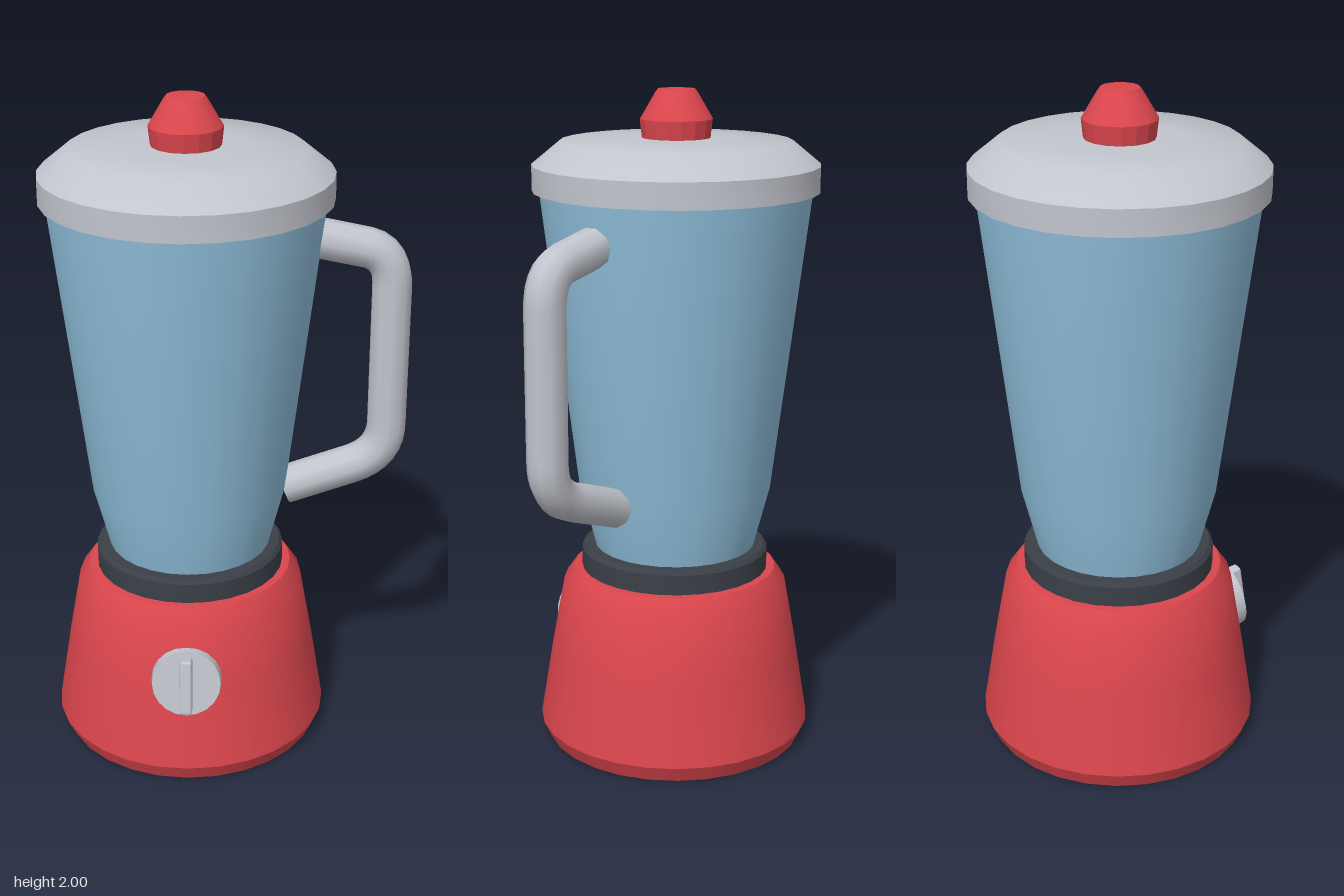
import * as THREE from 'three';
import { toCreasedNormals } from 'three/addons/utils/BufferGeometryUtils.js';
import { RoundedBoxGeometry } from 'three/addons/geometries/RoundedBoxGeometry.js';

const mat = (name, color) => {
  const m = new THREE.MeshStandardMaterial({ color });
  m.name = name;
  return m;
};

export function createModel() {
  const red = mat('red plastic', 0xdb464d);
  const metal = mat('pale metal', 0xc2c5cd);
  const glass = mat('blue glass', 0x90c0dc);
  const dark = mat('dark rubber', 0x3b4048);

  const model = new THREE.Group();
  model.name = 'blender';
  // everything turns about the jar axis, which sits left of centre to make room for the handle
  const body = new THREE.Group();
  body.name = 'body';
  body.position.set(-0.114, 0, -0.01);
  model.add(body);

  const add = (parent, name, geometry, material) => {
    const mesh = new THREE.Mesh(geometry, material);
    mesh.name = name;
    parent.add(mesh);
    return mesh;
  };
  // profile points [radius, height], listed from bottom to top
  const turned = (name, profile, material, segments = 28, crease = 0.5) => {
    const points = profile.map(([r, y]) => new THREE.Vector2(r, y));
    const geometry = toCreasedNormals(new THREE.LatheGeometry(points, segments), crease);
    return add(body, name, geometry, material);
  };

  turned('motorBase', [[0, 0], [0.397, 0], [0.42, 0.05], [0.381, 0.29], [0.343, 0.5],
    [0.31, 0.547], [0, 0.547]], red);
  turned('collar', [[0, 0.53], [0.286, 0.53], [0.286, 0.608], [0.276, 0.62], [0, 0.62]], dark);
  turned('jar', [[0, 0.61], [0.243, 0.61], [0.294, 0.81], [0.404, 1.72], [0, 1.72]], glass);
  turned('lid', [[0, 1.706], [0.423, 1.706], [0.423, 1.782], [0.34, 1.85], [0.17, 1.857],
    [0, 1.86]], metal, 28, 0.75);
  turned('lidKnob', [[0, 1.84], [0.099, 1.84], [0.107, 1.912], [0.062, 1.988], [0.055, 1.997],
    [0, 2]], red, 16, 0.38);

  // handle: a bent tube with two rounded corners
  const handle = new THREE.Group();
  handle.name = 'handle';
  handle.position.z = -0.01;
  model.add(handle);
  const v = (x, y) => new THREE.Vector3(x, y, 0);
  const path = new THREE.CurvePath();
  path.add(new THREE.LineCurve3(v(0.24, 1.592), v(0.4, 1.56)));
  path.add(new THREE.QuadraticBezierCurve3(v(0.4, 1.56), v(0.478, 1.545), v(0.478, 1.44)));
  path.add(new THREE.LineCurve3(v(0.478, 1.44), v(0.478, 1.01)));
  path.add(new THREE.QuadraticBezierCurve3(v(0.478, 1.01), v(0.478, 0.908), v(0.375, 0.871)));
  path.add(new THREE.LineCurve3(v(0.375, 0.871), v(0.176, 0.8)));
  const tubeRadius = 0.059;
  add(handle, 'handleTube', new THREE.TubeGeometry(path, 48, tubeRadius, 10), metal);
  for (const [t, sign] of [[0, -1], [1, 1]]) {
    const cap = add(handle, 'handleEnd', new THREE.CircleGeometry(tubeRadius, 10), metal);
    const end = path.getPointAt(t);
    cap.position.copy(end);
    cap.quaternion.setFromUnitVectors(new THREE.Vector3(0, 0, 1),
      path.getTangentAt(t).multiplyScalar(sign));
  }

  // control dial, leaning back with the front of the base
  const dial = new THREE.Group();
  dial.name = 'dial';
  dial.position.set(0, 0.333, 0.375);
  dial.rotation.x = -0.165;
  body.add(dial);
  const disc = add(dial, 'dialDisc', new THREE.CylinderGeometry(0.102, 0.107, 0.06, 20), metal);
  disc.rotation.x = Math.PI / 2;
  disc.position.z = -0.01;
  const grip = add(dial, 'dialGrip', new RoundedBoxGeometry(0.036, 0.168, 0.06, 2, 0.008), metal);
  grip.position.z = 0.03;

  return model;
}
